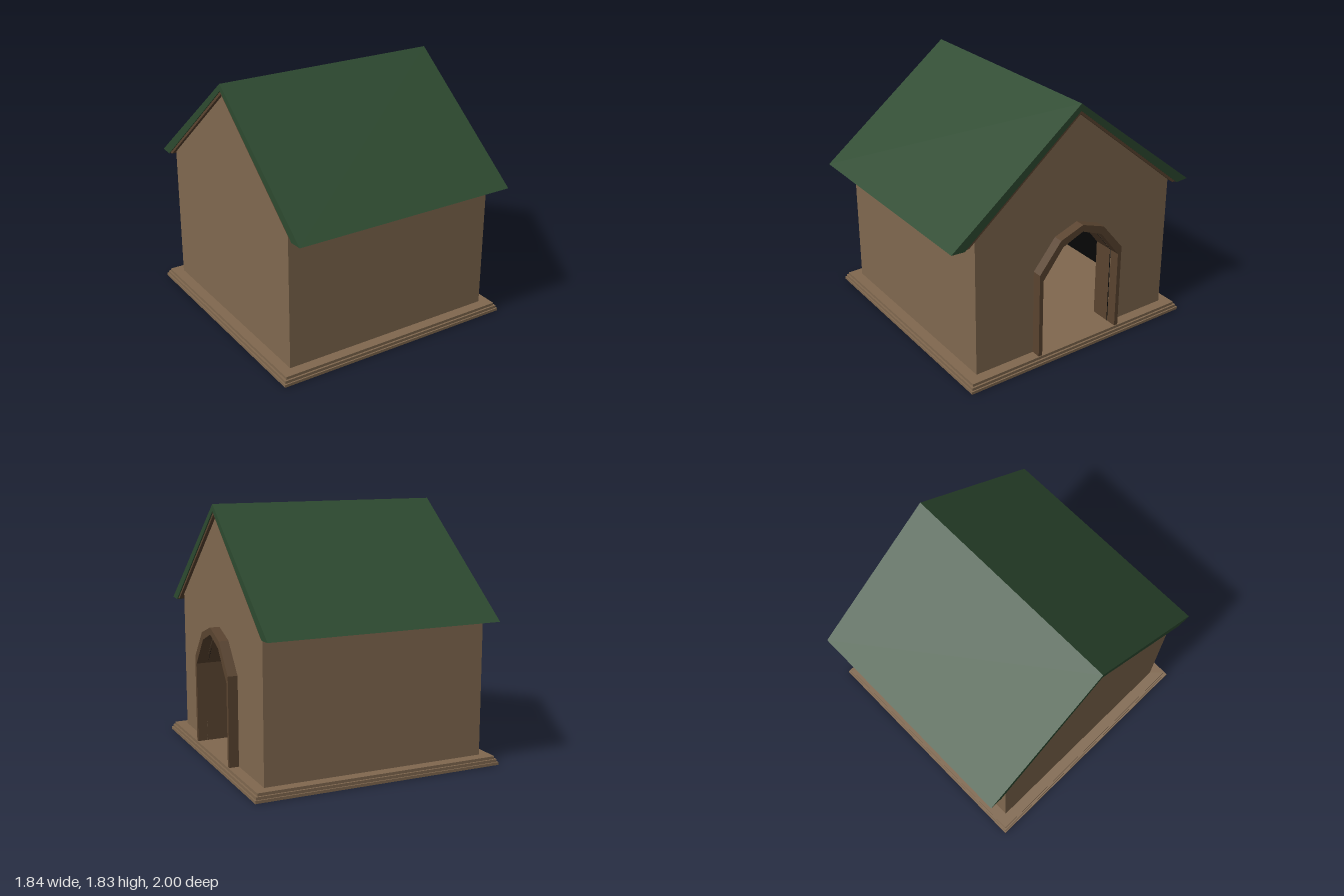
import * as THREE from 'three';

const material = (color) => new THREE.MeshStandardMaterial({ color, flatShading: true, roughness: 0.9 });
const wood = material(0x80684f);
const darkWood = material(0x5a4430);
const green = material(0x2d4a30);
const black = material(0x070707);

const OFFSET = 0.014; // the house sits slightly behind the roof ridge
const FLOOR = 0.06;

const shapeOf = (pts) => new THREE.Shape(pts.map(([u, v]) => new THREE.Vector2(u, v)));

// Extrudes an end-on profile (u = -z, v = y) along x from x0 to x1
function extrudeX(name, shape, x0, x1, mat) {
  const geo = new THREE.ExtrudeGeometry(shape, { depth: x1 - x0, bevelEnabled: false });
  geo.translate(0, 0, x0);
  geo.rotateY(Math.PI / 2);
  const mesh = new THREE.Mesh(geo, mat);
  mesh.name = name;
  return mesh;
}

// Gabled outline of the house, shrunk by an inset
function housePoints(inset) {
  const left = -0.822 + OFFSET + inset;
  const right = 0.822 + OFFSET - inset;
  const top = (u) => 1.765 - 1.3 * inset - 0.82 * Math.abs(u);
  const bottom = 0.02 + inset;
  return [[left, bottom], [right, bottom], [right, top(right)], [0, top(0)], [left, top(left)]];
}

// Pointed arch of the doorway: half width, shoulder height, upper corner, peak
function archPoints(w, shoulder, cornerW, cornerY, peak, bottom) {
  return [[-w, bottom], [w, bottom], [w, shoulder], [cornerW, cornerY],
    [0, peak], [-cornerW, cornerY], [-w, shoulder]].map(([u, v]) => [u + OFFSET, v]);
}

// Symmetric roof layer from the outer and inner eaves and ridges
function chevron(outerU, outerY, outerTop, innerU, innerY, innerTop) {
  return shapeOf([[-outerU, outerY], [-innerU, innerY], [0, innerTop],
    [innerU, innerY], [outerU, outerY], [0, outerTop]]);
}

export function createModel() {
  const model = new THREE.Group();
  model.name = 'kennel';

  // Stepped base
  const base = new THREE.Group();
  base.name = 'base';
  [[0.92, 0, 0.02], [0.91, 0.02, 0.04], [0.897, 0.04, FLOOR]].forEach(([half, y0, y1], i) => {
    const step = new THREE.Mesh(new THREE.BoxGeometry(half * 2, y1 - y0, half * 2 + 0.006), wood);
    step.position.set(0, (y0 + y1) / 2, -OFFSET);
    step.name = `baseStep${i + 1}`;
    base.add(step);
  });
  model.add(base);

  // Hollow house: outer walls, then a dark lining just inside them
  const inner = archPoints(0.325, 0.65, 0.165, 0.857, 0.925, 0.045);
  const outer = archPoints(0.355, 0.7, 0.183, 0.91, 0.975, 0.045);
  const layers = [['wall', 0, wood, 0.82], ['lining', 0.008, black, 0.812]];
  for (const [name, inset, mat, x] of layers) {
    const t = 0.008;
    const shell = shapeOf(housePoints(inset));
    shell.holes.push(shapeOf(housePoints(inset + t)));
    const front = shapeOf(housePoints(inset));
    front.holes.push(shapeOf(inner));
    model.add(
      extrudeX(`${name}Sides`, shell, -x + t, x - t, mat),
      extrudeX(`${name}Doorway`, front, x - t, x, mat),
      extrudeX(`${name}Back`, shapeOf(housePoints(inset)), -x, -x + t, mat),
    );
  }

  // Deep arched door frame
  const frame = shapeOf(outer);
  frame.holes.push(shapeOf(archPoints(0.325, 0.65, 0.165, 0.857, 0.925, 0.05)));
  model.add(extrudeX('doorFrame', frame, 0.66, 0.89, darkWood));

  // Roof and the thin board beneath it
  model.add(extrudeX('roof', chevron(1, 1.045, 1.83, 0.9, 1.04, 1.78), -0.85, 0.85, green));
  model.add(extrudeX('roofBoard', chevron(0.9, 1.042, 1.782, 0.86, 1.05, 1.757), -0.843, 0.843, darkWood));

  return model;
}
